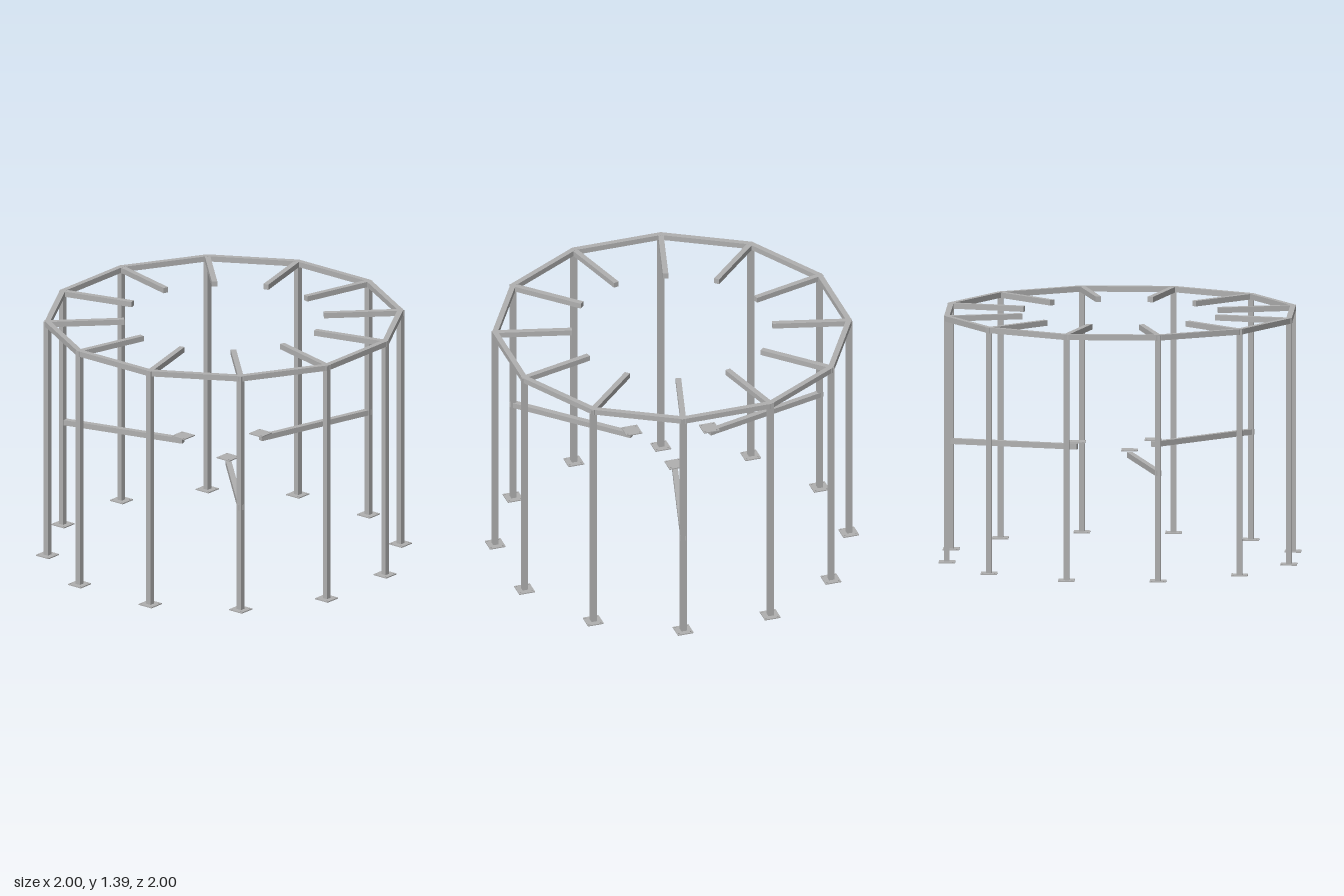
import * as THREE from 'three';

const R = 0.989;        // radius of the post circle
const BAR = 0.031;      // square bar width
const TOP = 1.39;       // top of the ring
const RING_Y = TOP - BAR / 2;
const STEP = Math.PI / 6;

export function createModel() {
  const group = new THREE.Group();
  const steel = new THREE.MeshStandardMaterial({ color: 0xb0b0b0 });
  steel.name = 'grey steel';

  const add = (name, geometry, x = 0, y = 0, z = 0, turn = 0) => {
    const mesh = new THREE.Mesh(geometry, steel);
    mesh.name = name;
    mesh.position.set(x, y, z);
    mesh.rotation.y = turn;
    group.add(mesh);
    return mesh;
  };

  // Square plate with four bolt holes, lying flat with its underside at y = 0
  const h = 0.046;
  const outline = new THREE.Shape([[-h, -h], [h, -h], [h, h], [-h, h]].map(p => new THREE.Vector2(...p)));
  for (const sx of [-1, 1]) for (const sy of [-1, 1]) {
    outline.holes.push(new THREE.Path().absarc(sx * 0.034, sy * 0.034, 0.005, 0, Math.PI * 2, true));
  }
  const plate = new THREE.ExtrudeGeometry(outline, { depth: 0.006, bevelEnabled: false, curveSegments: 8 });
  plate.rotateX(-Math.PI / 2);

  // Ring beam with mitred ends, running along x
  const half = R * Math.sin(STEP / 2);
  const miter = (BAR / 2) * Math.tan(STEP / 2);
  const beam = new THREE.BoxGeometry(2 * half, BAR, BAR);
  const pos = beam.attributes.position;
  for (let i = 0; i < pos.count; i++) {
    pos.setX(i, Math.sign(pos.getX(i)) * (half + Math.sign(pos.getZ(i)) * miter));
  }
  beam.computeVertexNormals();

  const post = new THREE.BoxGeometry(BAR, TOP - 0.003, BAR);

  // Radial bar from a post towards the middle
  const radial = (name, angle, inner, y) => {
    const outer = R + 0.014;
    const mid = (inner + outer) / 2;
    add(name, new THREE.BoxGeometry(outer - inner, BAR, BAR),
      mid * Math.cos(angle), y, mid * Math.sin(angle), -angle);
  };

  const apothem = R * Math.cos(STEP / 2);
  for (let i = 0; i < 12; i++) {
    const a = (i + 0.5) * STEP;
    const x = R * Math.cos(a), z = R * Math.sin(a);
    add('post', post, x, (TOP - 0.003) / 2, z);
    // Foot plates keep within the overall square
    add('footPlate', plate, THREE.MathUtils.clamp(x, -0.954, 0.954), 0, THREE.MathUtils.clamp(z, -0.954, 0.954));
    radial('upperStub', a, 0.56, RING_Y - 0.0005);
    const b = i * STEP;
    add('ringBeam', beam, apothem * Math.cos(b), RING_Y, apothem * Math.sin(b), Math.PI / 2 - b);
  }

  // Three long lower arms, each with a plate just above its inner end
  for (const i of [0, 4, 8]) {
    const a = (i + 0.5) * STEP;
    radial('lowerArm', a, 0.25, 0.611);
    add('armPlate', plate, 0.25 * Math.cos(a), 0.635, 0.25 * Math.sin(a));
  }
  return group;
}
